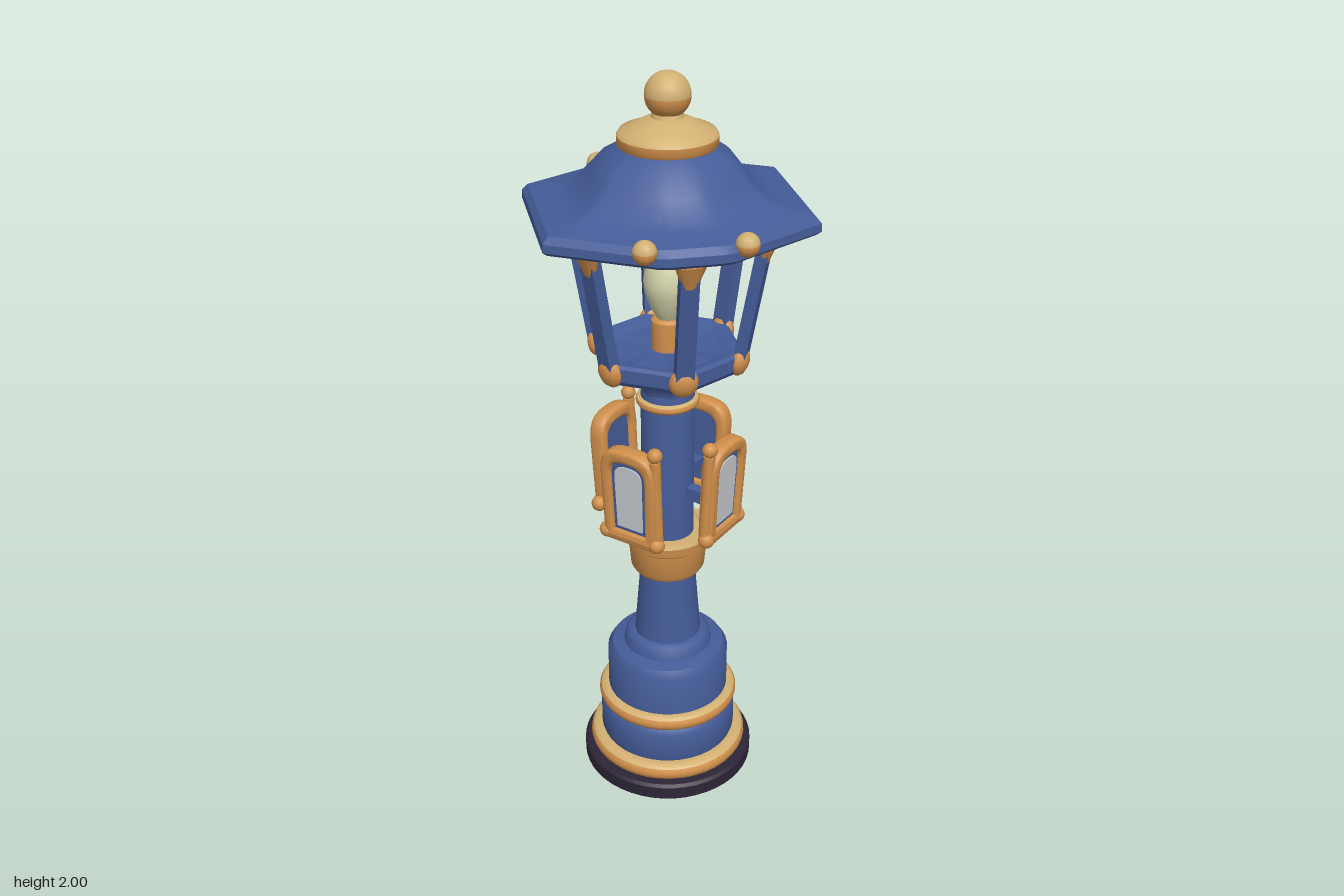
import * as THREE from 'three';
import { toCreasedNormals } from 'three/addons/utils/BufferGeometryUtils.js';

const material = (name, color) => Object.assign(new THREE.MeshStandardMaterial({ color }), { name });
const blue = material('blue paint', 0x445c98);
const orange = material('copper trim', 0xd1904c);
const gold = material('pale gold trim', 0xd2b072);
const dark = material('dark plinth', 0x2c2536);
const cream = material('cream bulb', 0xd3d4ab);
const grey = material('pale glass', 0xc9ccd1);

function add(parent, name, geometry, mat, x = 0, y = 0, z = 0) {
  const mesh = new THREE.Mesh(geometry, mat);
  mesh.name = name;
  mesh.position.set(x, y, z);
  parent.add(mesh);
  return mesh;
}

// Turned part from [radius, height] pairs, listed from bottom to top
const turned = (points, segments = 40) => toCreasedNormals(
  new THREE.LatheGeometry(points.map(([r, y]) => new THREE.Vector2(r, y)), segments), 0.7);

// Turned part pressed into a hexagon with corners on the z axis, optionally cut short in z.
// Rings with radius below `round` blend back to a circle.
function hexTurned(points, round, cut = Infinity) {
  const geo = new THREE.LatheGeometry(points.map(([r, y]) => new THREE.Vector2(r, y)), 72);
  const p = geo.attributes.position;
  for (let i = 0; i < p.count; i++) {
    const x = p.getX(i), z = p.getZ(i), r = Math.hypot(x, z);
    if (r < 1e-5) continue;
    const a = Math.atan2(z, x), step = Math.PI / 3;
    const hex = 1 / Math.cos(a - Math.round(a / step) * step);
    const k = Math.min(hex, cut / Math.max(Math.abs(Math.sin(a)), 1e-6));
    const s = THREE.MathUtils.lerp(1, k, THREE.MathUtils.clamp(r / round, 0, 1) ** 2);
    p.setXYZ(i, x * s, p.getY(i), z * s);
  }
  return toCreasedNormals(geo, 0.5);
}

// Rounded band with a pale upper lip
function band(parent, name, r, y0, y1) {
  const h = (y1 - y0) / 2, ym = (y0 + y1) / 2, n = 6;
  const arc = (from, to) => Array.from({ length: n + 1 }, (_, i) => {
    const t = from + (to - from) * i / n;
    return [r - h + h * Math.cos(t), ym + h * Math.sin(t)];
  });
  add(parent, name, turned([[r - h * 2.5, y0], ...arc(-Math.PI / 2, 0.7)]), orange);
  add(parent, name + 'Lip', turned([...arc(0.7, Math.PI / 2), [r - h * 2.5, y1]]), gold);
}

// Arched panel outline
function arch(shape, w, bottom, top) {
  const shoulder = top - w * 0.85;
  shape.moveTo(-w * 0.94, bottom);
  shape.lineTo(w * 0.94, bottom);
  shape.lineTo(w, shoulder);
  shape.bezierCurveTo(w, top - w * 0.1, w * 0.6, top, 0, top);
  shape.bezierCurveTo(-w * 0.6, top, -w, top - w * 0.1, -w, shoulder);
  shape.closePath();
  return shape;
}

function extruded(shape, depth, bevel) {
  const geo = new THREE.ExtrudeGeometry(shape, {
    depth, curveSegments: 8, bevelEnabled: bevel > 0, bevelThickness: bevel,
    bevelSize: bevel, bevelOffset: -bevel, bevelSegments: 2,
  });
  geo.translate(0, 0, -depth / 2);
  return bevel ? toCreasedNormals(geo, 0.9) : geo;
}

// Small framed window; finialSide is the corner that carries the knob
function windowFrame(finialSide) {
  const g = new THREE.Group();
  const outer = arch(new THREE.Shape(), 0.082, 0, 0.28);
  outer.holes.push(arch(new THREE.Path(), 0.052, 0.035, 0.245));
  add(g, 'windowSurround', extruded(outer, 0.026, 0.009), orange);
  const inner = arch(new THREE.Shape(), 0.058, 0.03, 0.25);
  add(g, 'windowBacking', extruded(inner, 0.02, 0), blue);
  const pane = arch(new THREE.Shape(), 0.041, 0.047, 0.232);
  add(g, 'windowPane', extruded(pane, 0.006, 0), grey, 0, 0, 0.011);
  const sill = add(g, 'windowSill', new THREE.CapsuleGeometry(0.018, 0.14, 4, 10), orange, 0, 0.018, 0.006);
  sill.rotation.z = Math.PI / 2;
  for (const s of [-1, 1]) {
    add(g, 'sillKnob', new THREE.SphereGeometry(0.022, 12, 8), orange, s * 0.077, 0.018, 0.006);
  }
  add(g, 'windowRail', new THREE.CylinderGeometry(0.015, 0.015, 0.26, 10), orange, finialSide * 0.077, 0.14, 0);
  add(g, 'windowFinial', new THREE.SphereGeometry(0.02, 12, 8), orange, finialSide * 0.077, 0.287, 0);
  add(g, 'windowBracket', new THREE.BoxGeometry(0.03, 0.035, 0.1), blue, 0, 0.09, -0.055);
  return g;
}

export function createModel() {
  const model = new THREE.Group();
  model.name = 'streetLantern';

  // Plinth, base and column
  add(model, 'plinth', turned([[0, 0], [0.232, 0], [0.24, 0.008], [0.24, 0.045], [0.232, 0.052], [0, 0.052]], 48), dark);
  band(model, 'footBand', 0.222, 0.05, 0.1);
  add(model, 'base', turned([[0.18, 0.08], [0.19, 0.11], [0.19, 0.19], [0.182, 0.205], [0.168, 0.22], [0.168, 0.37],
    [0.155, 0.39], [0.122, 0.398], [0.117, 0.42], [0.107, 0.432], [0.091, 0.435], [0.073, 0.66]]), blue);
  band(model, 'baseBand', 0.195, 0.205, 0.25);
  add(model, 'column', turned([[0.07, 0.64], [0.07, 1.17], [0.066, 1.19]]), blue);

  // Collar below the windows
  add(model, 'collar', turned([[0.06, 0.642], [0.092, 0.642], [0.1, 0.655], [0.106, 0.725], [0.114, 0.732], [0.117, 0.758]]), orange);
  add(model, 'collarLip', turned([[0.117, 0.758], [0.112, 0.77], [0.098, 0.77], [0.09, 0.758], [0.06, 0.758]]), gold);

  // Four windows around the column
  for (const sx of [-1, 1]) for (const sz of [-1, 1]) {
    const w = windowFrame(-sx * sz);
    w.name = 'window';
    w.position.set(0.115 * sx, 0.8, 0.115 * sz);
    w.rotation.set(0.05, Math.atan2(sx, sz), 0, 'YXZ');
    model.add(w);
  }
  band(model, 'neckBand', 0.083, 1.14, 1.165);

  // Lantern basin
  add(model, 'basin', hexTurned([[0.066, 1.16], [0.067, 1.19], [0.08, 1.215], [0.105, 1.235], [0.168, 1.258],
    [0.176, 1.27], [0.176, 1.305], [0.168, 1.312], [0.15, 1.31], [0.13, 1.298], [0, 1.298]], 0.16), blue);

  // Six leaning posts with clasps at both ends
  for (let i = 0; i < 6; i++) {
    const side = new THREE.Group();
    side.name = 'lanternSide';
    side.rotation.y = i * Math.PI / 3;
    const lean = Math.atan2(0.058, 0.33);
    const post = add(side, 'post', new THREE.BoxGeometry(0.046, 0.35, 0.03), blue, 0, 1.457, 0.22);
    post.rotation.x = lean;
    const low = add(side, 'lowerClasp', new THREE.SphereGeometry(0.04, 10, 8), orange, 0, 1.288, 0.19);
    low.scale.set(0.95, 1, 0.6);
    low.rotation.x = lean;
    const high = add(side, 'upperClasp', new THREE.CylinderGeometry(0.042, 0.018, 0.065, 10), orange, 0, 1.593, 0.25);
    high.scale.z = 0.6;
    high.rotation.x = lean;
    model.add(side);
  }

  // Socket and bulb
  add(model, 'socket', turned([[0, 1.295], [0.042, 1.295], [0.042, 1.375], [0.034, 1.382], [0, 1.382]], 20), orange);
  add(model, 'bulb', new THREE.LatheGeometry(new THREE.SplineCurve([[0.026, 1.378], [0.045, 1.415], [0.061, 1.47],
    [0.052, 1.525], [0.027, 1.57], [0.014, 1.6], [0, 1.61]].map(([x, y]) => new THREE.Vector2(x, y))).getPoints(20), 24), cream);

  // Hollow roof
  add(model, 'roof', hexTurned([[0, 1.77], [0.12, 1.745], [0.205, 1.65], [0.215, 1.612], [0.235, 1.61], [0.242, 1.637],
    [0.318, 1.642], [0.33, 1.652], [0.329, 1.672], [0.315, 1.688], [0.255, 1.7], [0.222, 1.715], [0.19, 1.755],
    [0.155, 1.8], [0.115, 1.826], [0, 1.83]], 0.28, 1.015), blue);
  for (const sx of [-1, 1]) for (const sz of [-1, 1]) {
    const knob = new THREE.Group();
    knob.name = 'roofKnob';
    knob.position.set(0.118 * sx, 1.684, 0.314 * sz);
    add(knob, 'knobTop', new THREE.SphereGeometry(0.029, 12, 5, 0, Math.PI * 2, 0, 1.5), gold);
    add(knob, 'knobUnderside', new THREE.SphereGeometry(0.029, 12, 5, 0, Math.PI * 2, 1.5, Math.PI - 1.5), orange);
    model.add(knob);
  }

  // Cap and ball finial
  add(model, 'capRim', turned([[0.08, 1.82], [0.116, 1.822], [0.122, 1.83], [0.122, 1.85]]), orange);
  add(model, 'capTop', turned([[0.122, 1.85], [0.116, 1.86], [0.085, 1.872], [0.058, 1.886], [0.04, 1.892], [0.034, 1.91]]), gold);
  add(model, 'finialLower', new THREE.SphereGeometry(0.056, 20, 8, 0, Math.PI * 2, 1.6, Math.PI - 1.6), orange, 0, 1.944, 0);
  add(model, 'finialUpper', new THREE.SphereGeometry(0.056, 20, 8, 0, Math.PI * 2, 0, 1.6), gold, 0, 1.944, 0);

  return model;
}
